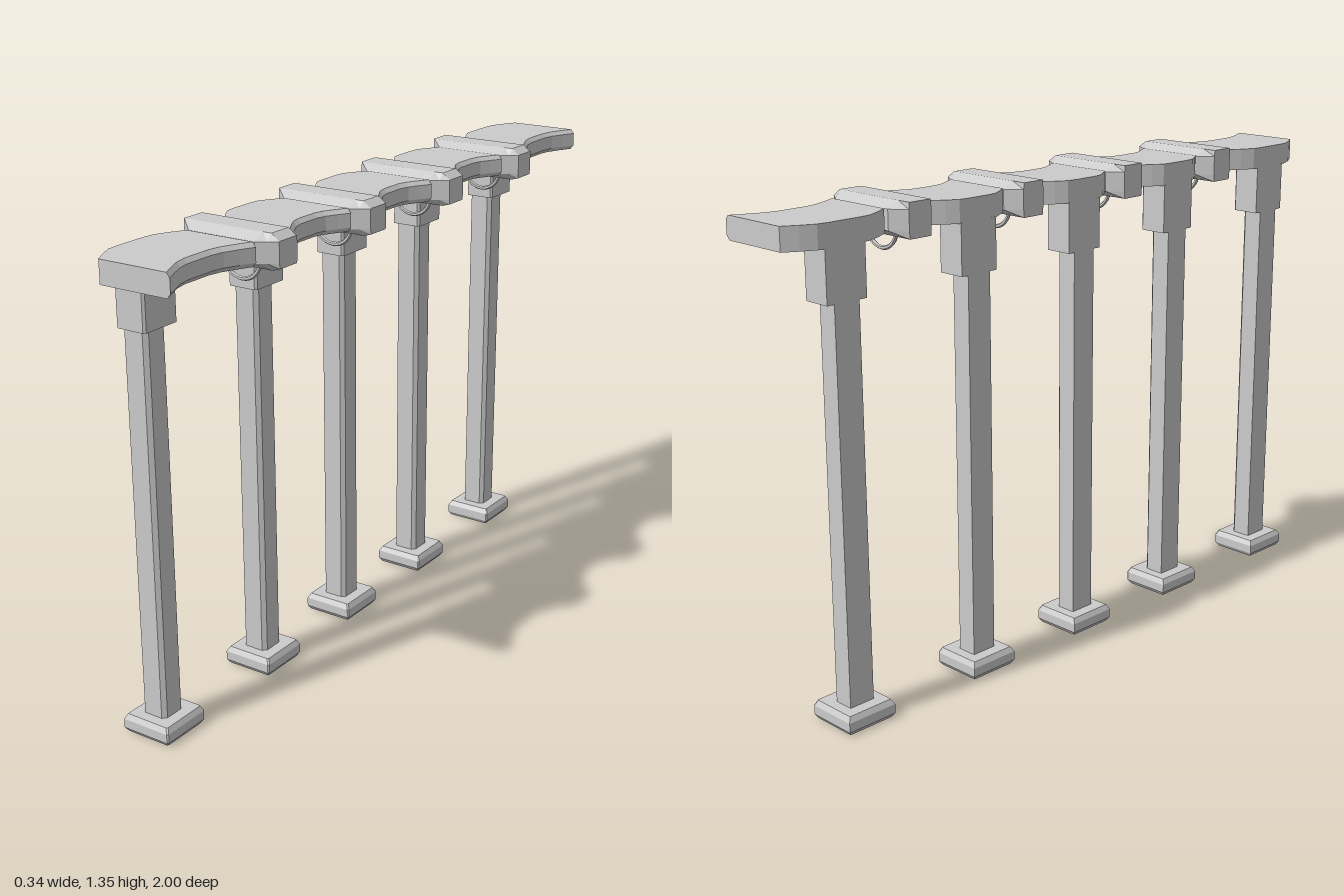
import * as THREE from 'three';

const material = new THREE.MeshStandardMaterial({ color: 0xcccccc, flatShading: true });

// Skin a list of convex rings (counter-clockwise about the sweep direction) and cap both ends.
function loft(rings) {
  const pos = [];
  const tri = (a, b, c) => pos.push(...a, ...b, ...c);
  const n = rings[0].length;
  for (let r = 0; r < rings.length - 1; r++) {
    const a = rings[r], b = rings[r + 1];
    for (let i = 0; i < n; i++) {
      const j = (i + 1) % n;
      tri(a[i], a[j], b[j]);
      tri(a[i], b[j], b[i]);
    }
  }
  const first = rings[0], last = rings[rings.length - 1];
  for (let i = 1; i < n - 1; i++) {
    tri(first[0], first[i + 1], first[i]);
    tri(last[0], last[i], last[i + 1]);
  }
  const geometry = new THREE.BufferGeometry();
  geometry.setAttribute('position', new THREE.Float32BufferAttribute(pos, 3));
  geometry.computeVertexNormals();
  return geometry;
}

function addPart(parent, name, geometry, z = 0) {
  const mesh = new THREE.Mesh(geometry, material);
  mesh.name = name;
  mesh.position.z = z;
  parent.add(mesh);
}

// Horizontal rectangle whose two front (+x) corners are chamfered by c.
const slab = (y, x0, x1, hz, c) => [
  [x0, y, -hz], [x0, y, hz], [x1 - c, y, hz],
  [x1, y, hz - c], [x1, y, -hz + c], [x1 - c, y, -hz],
];

// Bench plank: bulging back edge, hollow front edge with small bevels.
function plankGeometry(half) {
  const stations = [
    [-1, -0.088, 0.127], [-0.75, -0.111, 0.108], [-0.5, -0.129, 0.091], [-0.28, -0.132, 0.084],
    [0.28, -0.132, 0.084], [0.5, -0.129, 0.091], [0.75, -0.111, 0.108], [1, -0.088, 0.127],
  ];
  return loft(stations.map(([t, back, front]) => [
    [back, 1.275], [front - 0.01, 1.275], [front, 1.287],
    [front, 1.326], [front - 0.01, 1.338], [back, 1.338],
  ].map(([x, y]) => [x, y, t * half])));
}

// Octagonal bar across the bench, tapering at both ends.
function connectorGeometry() {
  const stations = [
    [-0.132, 0.037, 1.259, 1.353], [-0.09, 0.07, 1.259, 1.353],
    [0.115, 0.07, 1.259, 1.353], [0.141, 0.053, 1.259, 1.353], [0.165, 0.037, 1.266, 1.336],
  ];
  return loft(stations.map(([x, h, y0, y1]) => {
    const t = 0.035, lo = Math.max(y0, 1.28), hi = Math.min(y1, 1.335);
    return [
      [x, y1, -t], [x, y1, t], [x, hi, h], [x, lo, h],
      [x, y0, t], [x, y0, -t], [x, lo, -h], [x, hi, -h],
    ];
  }));
}

export function createModel() {
  const group = new THREE.Group();
  group.name = 'bench';

  const foot = loft([[0, 0.008], [0.012, 0], [0.038, 0], [0.053, 0.008]].map(
    ([y, inset]) => slab(y, -0.172 + inset, -0.021 - inset, 0.077 - inset, 0.004)));
  const post = loft([0.05, 1.14].map((y) => slab(y, -0.13, -0.062, 0.039, 0.011)));
  const bracket = loft([1.135, 1.277].map((y) => slab(y, -0.131, -0.044, 0.062, 0.006)));
  const endPlank = plankGeometry(0.16);
  const midPlank = plankGeometry(0.128);

  // Five supports, each carrying one plank
  for (const z of [-0.84, -0.4, 0, 0.4, 0.84]) {
    addPart(group, 'foot', foot, z);
    addPart(group, 'post', post, z);
    addPart(group, 'bracket', bracket, z);
    addPart(group, 'plank', Math.abs(z) > 0.5 ? endPlank : midPlank, z);
  }

  // Four connectors between the planks, each with a hanging half ring
  const connector = connectorGeometry();
  const ring = new THREE.TorusGeometry(0.06, 0.006, 6, 16, Math.PI);
  ring.rotateZ(Math.PI).translate(0.02, 1.272, 0);
  for (const z of [-0.6, -0.2, 0.2, 0.6]) {
    addPart(group, 'connector', connector, z);
    addPart(group, 'ring', ring, z);
  }
  return group;
}
